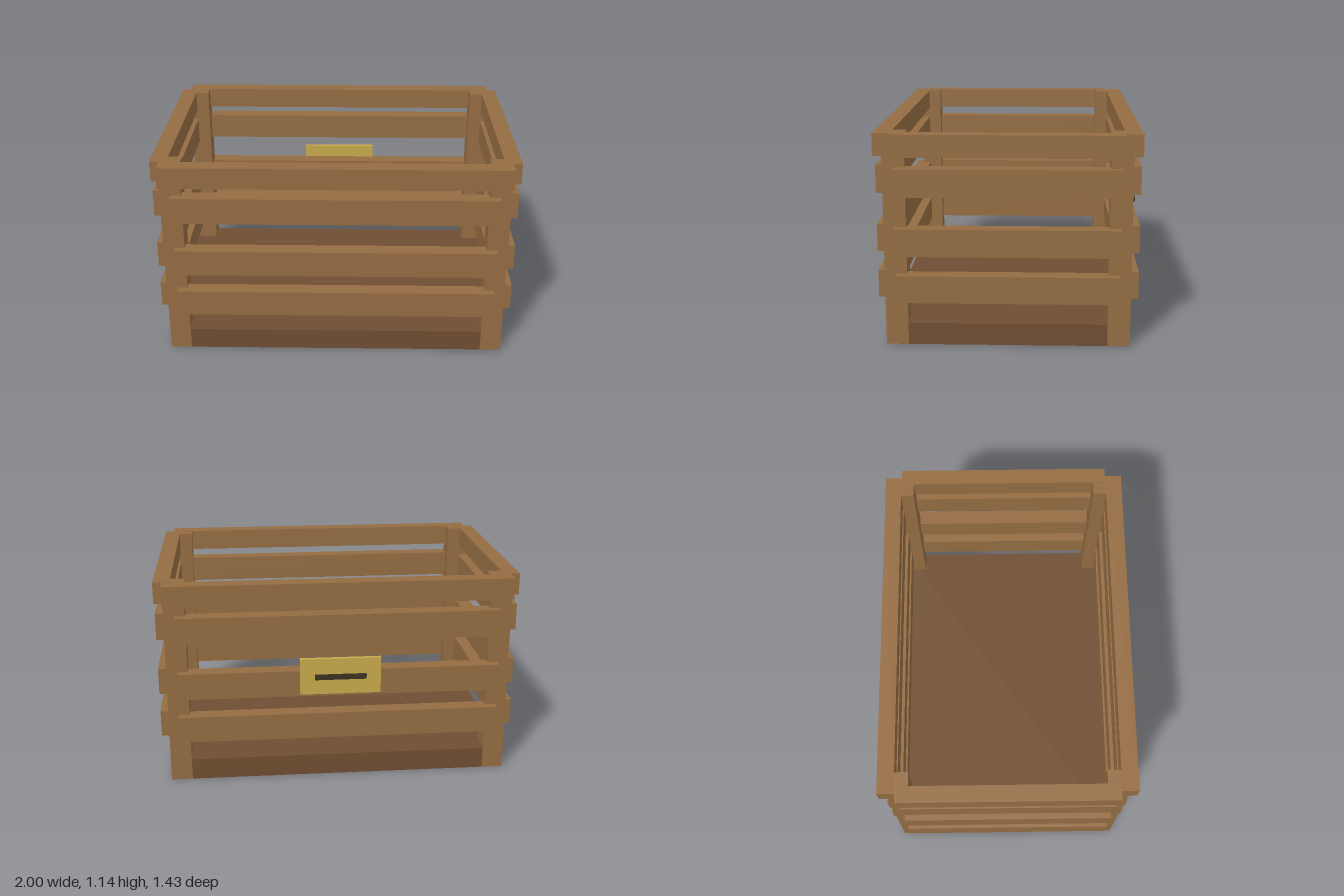
import * as THREE from 'three';

const wood = new THREE.MeshStandardMaterial({ color: 0x946c42 });
const darkWood = new THREE.MeshStandardMaterial({ color: 0x6f4d31 });
const brass = new THREE.MeshStandardMaterial({ color: 0xc8a84a });
const slotDark = new THREE.MeshStandardMaterial({ color: 0x3a3020 });

// Box given by its extents on each axis
function box(parent, name, material, [x0, x1], [y0, y1], [z0, z1]) {
  const mesh = new THREE.Mesh(new THREE.BoxGeometry(x1 - x0, y1 - y0, z1 - z0), material);
  mesh.position.set((x0 + x1) / 2, (y0 + y1) / 2, (z0 + z1) / 2);
  mesh.name = name;
  parent.add(mesh);
}

// Extent from a to b on the chosen side of the centre
const side = (s, a, b) => (s > 0 ? [a, b] : [-b, -a]);

export function createModel() {
  const model = new THREE.Group();
  model.name = 'crate';

  // The crate is symmetric about its own centre; the handle plate shifts it forward
  const crate = new THREE.Group();
  crate.name = 'crateBody';
  crate.position.z = 0.017;
  model.add(crate);

  // Solid floor, a hair inside the posts' outer faces
  box(crate, 'floor', darkWood, [-0.948, 0.948], [0, 0.12], [-0.648, 0.648]);

  // Corner posts
  for (const sx of [-1, 1]) {
    for (const sz of [-1, 1]) {
      box(crate, 'cornerPost', wood, side(sx, 0.833, 0.95), [0.001, 1.144], side(sz, 0.531, 0.65));
    }
  }

  // Three slats and a top rail on each of the four walls
  const slatHeights = [[0.247, 0.395], [0.5, 0.648], [0.817, 0.966]];
  for (const s of [-1, 1]) {
    const wall = s > 0 ? 'front' : 'back';
    const end = s > 0 ? 'left' : 'right';
    for (const y of slatHeights) {
      box(crate, wall + 'Slat', wood, [-0.89, 0.89], y, side(s, 0.605, 0.694));
      box(crate, end + 'Slat', wood, side(s, 0.907, 0.997), y, [-0.591, 0.591]);
    }
    const top = [1.026, 1.145];
    box(crate, wall + 'TopRail', wood, [-0.95, 0.95], top, side(s, 0.605, 0.697));
    box(crate, end + 'TopRail', wood, side(s, 0.909, 1), top, [-0.602, 0.602]);
  }

  // Plate on the back wall with its raised dark slot
  box(model, 'backPlate', brass, [-0.222, 0.222], [0.518, 0.722], [-0.698, -0.673]);
  box(model, 'plateSlot', slotDark, [-0.142, 0.142], [0.605, 0.633], [-0.712, -0.69]);

  return model;
}
